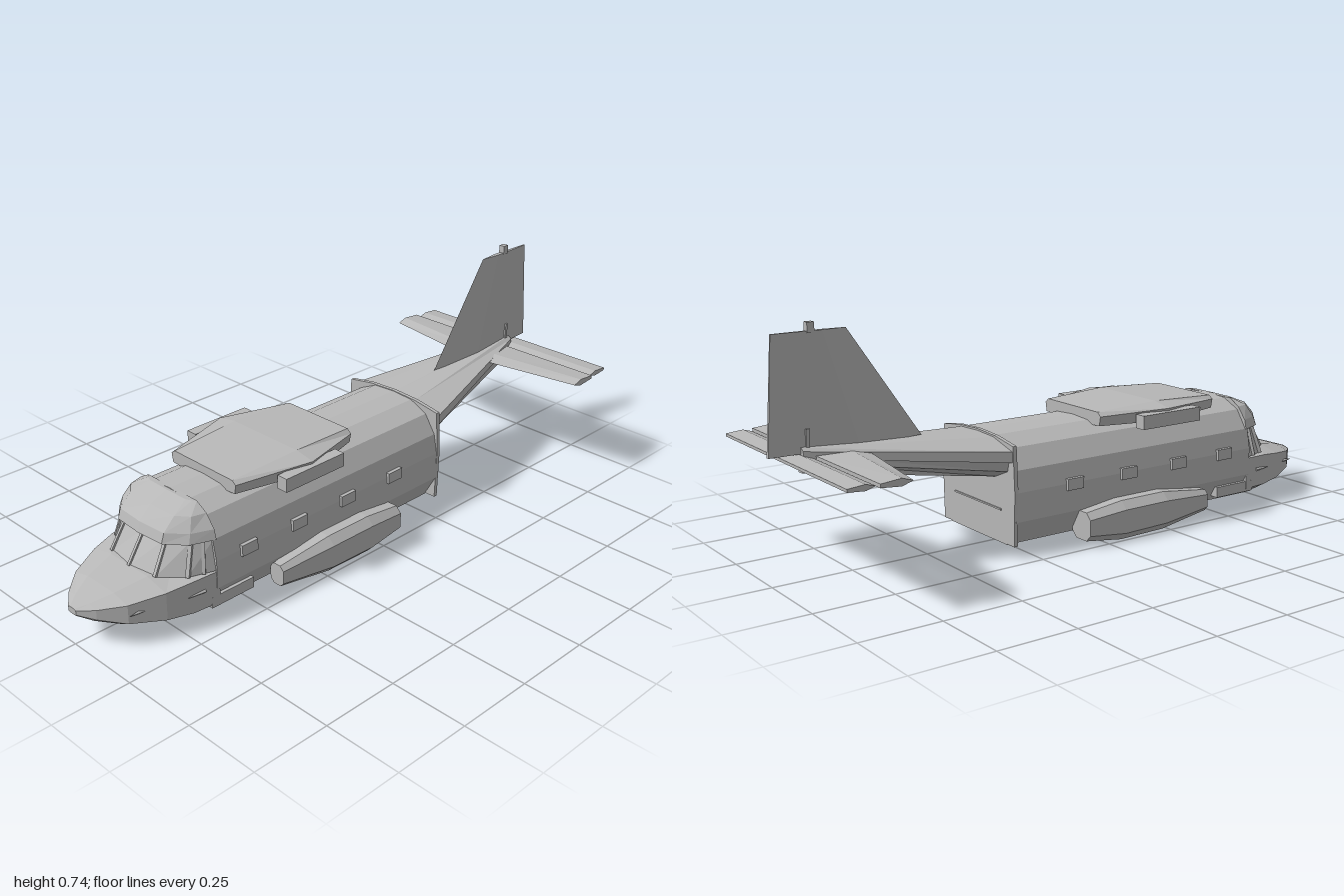
import * as THREE from 'three';

const grey = new THREE.MeshStandardMaterial({ color: 0xb8b8b8, flatShading: true });
grey.name = 'airframe grey';

// Mirror a half outline (x >= 0) into a closed ring
const ring = half => [...half, ...half.filter(p => p[0] > 0).reverse().map(([x, y, z]) => [-x, y, z])];

// Closed solid through rings of equal point count, wound outward by its signed volume
function loft(rings) {
  const n = rings[0].length, tris = [];
  for (let i = 0; i < rings.length - 1; i++)
    for (let j = 0; j < n; j++) {
      const k = (j + 1) % n, a = rings[i], b = rings[i + 1];
      tris.push([a[j], a[k], b[k]], [a[j], b[k], b[j]]);
    }
  const cap = (r, flip) => {
    const c = [0, 1, 2].map(q => r.reduce((s, p) => s + p[q], 0) / n);
    r.forEach((p, j) => tris.push(flip ? [c, r[(j + 1) % n], p] : [c, p, r[(j + 1) % n]]));
  };
  cap(rings[0], true);
  cap(rings[rings.length - 1], false);
  const v = p => new THREE.Vector3(...p);
  const volume = tris.reduce((s, [a, b, c]) => s + v(a).dot(v(b).cross(v(c))), 0);
  const geo = new THREE.BufferGeometry();
  const pos = tris.flatMap(t => (volume < 0 ? [t[0], t[2], t[1]] : t).flat());
  geo.setAttribute('position', new THREE.Float32BufferAttribute(pos, 3));
  geo.computeVertexNormals();
  return geo;
}

const atZ = (z, pts) => pts.map(([x, y]) => [x, y, z]);
const atY = (y, pts) => pts.map(([x, z]) => [x, y, z]);

export function createModel() {
  const model = new THREE.Group();
  model.name = 'helicopter airframe';
  const add = (name, geo) => {
    const m = new THREE.Mesh(geo, grey);
    m.name = name;
    model.add(m);
    return m;
  };
  const box = (name, x0, x1, y0, y1, z0, z1) =>
    add(name, new THREE.BoxGeometry(x1 - x0, y1 - y0, z1 - z0))
      .position.set((x0 + x1) / 2, (y0 + y1) / 2, (z0 + z1) / 2);
  const bar = (name, a, b, w) => {
    const p = new THREE.Vector3(...a), q = new THREE.Vector3(...b);
    const m = add(name, new THREE.BoxGeometry(w, w, p.distanceTo(q)));
    m.position.copy(p).add(q).multiplyScalar(0.5);
    m.lookAt(q);
  };

  // Cabin
  const cabin = [[0, 0.36], [0.08, 0.355], [0.145, 0.325], [0.185, 0.265], [0.198, 0.2], [0.198, 0.11], [0.155, 0.036], [0, 0.036]];
  add('cabin', loft([0.64, -0.31].map(z => ring(atZ(z, cabin)))));
  box('bellyPlate', -0.155, 0.155, 0.033, 0.04, -0.315, 0.69);
  const frame = [[0, 0.362], [0.1, 0.357], [0.192, 0.342], [0.2, 0.2], [0.195, 0.036], [0, 0.036]];
  add('rearBulkhead', loft([-0.303, -0.316].map(z => ring(atZ(z, frame)))));
  box('rampSeam', -0.13, 0.13, 0.135, 0.14, -0.32, -0.31);

  // Nose: z, half width, top, shoulder, chine and bottom heights
  const nose = [
    [0.63, 0.197, 0.175, 0.165, 0.06, 0.035], [0.72, 0.188, 0.175, 0.163, 0.06, 0.038],
    [0.8, 0.168, 0.172, 0.153, 0.065, 0.047], [0.9, 0.123, 0.152, 0.138, 0.078, 0.066],
    [0.965, 0.065, 0.133, 0.126, 0.095, 0.086], [1, 0.018, 0.122, 0.119, 0.105, 0.102]];
  add('nose', loft(nose.map(([z, w, t, s, c, b]) =>
    ring(atZ(z, [[0, t], [w * 0.5, t], [w, s], [w, c], [w * 0.8, b], [0, b]])))));

  // Windscreen and cockpit roof, stacked upward
  const sill = [[0, 0.8], [0.1, 0.785], [0.165, 0.72], [0.198, 0.63]];
  const head = [[0, 0.735], [0.09, 0.73], [0.15, 0.69], [0.182, 0.63]];
  add('windscreen', loft([ring(atY(0.168, sill)), ring(atY(0.268, head))]));
  add('cockpitRoof', loft([
    [0.264, [[0, 0.762], [0.1, 0.755], [0.16, 0.705], [0.19, 0.63]]],
    [0.295, [[0, 0.752], [0.1, 0.745], [0.155, 0.695], [0.182, 0.63]]],
    [0.335, [[0, 0.71], [0.1, 0.705], [0.138, 0.675], [0.15, 0.63]]],
    [0.358, [[0, 0.65], [0.08, 0.648], [0.1, 0.64], [0.11, 0.63]]],
  ].map(([y, p]) => ring(atY(y, p)))));
  bar('centrePost', [0, 0.17, 0.8], [0, 0.266, 0.737], 0.009);

  // Fairing above the cabin
  add('engineFairing', loft([
    [0.515, 0.13, 0.145, 0.375, 0.386], [0.27, 0.14, 0.208, 0.385, 0.398], [0.045, 0.13, 0.145, 0.375, 0.388],
  ].map(([z, t, w, s, top]) => ring(atZ(z, [[0, top], [t, top], [w, s], [w * 0.96, 0.345], [0, 0.34]])))));

  // Tail boom with an overhanging upper deck
  add('tailBoom', loft([
    ring(atZ(-0.31, [[0, 0.3], [0.175, 0.3], [0.165, 0.26], [0.1, 0.232], [0, 0.232]])),
    ring(atZ(-0.9, [[0, 0.37], [0.018, 0.37], [0.017, 0.345], [0.012, 0.315], [0, 0.315]]))]));
  add('tailDeck', loft([
    ring(atZ(-0.31, [[0, 0.356], [0.09, 0.352], [0.19, 0.325], [0.19, 0.292], [0, 0.292]])),
    ring(atZ(-0.9, [[0, 0.39], [0.012, 0.389], [0.024, 0.38], [0.024, 0.358], [0, 0.358]]))]));

  // Fin
  const fin = (y, lead, mid, trail, t) => ring([[0, y, lead], [t, y, mid], [t * 0.3, y, trail]]);
  add('tailFin', loft([fin(0.37, -0.51, -0.72, -0.995, 0.018), fin(0.71, -0.745, -0.82, -0.972, 0.008)]));
  box('finTopLight', -0.01, 0.01, 0.705, 0.735, -0.867, -0.845);
  box('rudderHinge', -0.016, 0.016, 0.38, 0.44, -0.885, -0.875);

  // Stabilizer and elevator, spanning the tail
  const foil = (x, lead, trail, y, t) => [
    [x, y, lead], [x, y + t, lead + (trail - lead) * 0.35], [x, y + t * 0.5, trail],
    [x, y - t * 0.5, trail], [x, y - t, lead + (trail - lead) * 0.35]];
  add('stabilizer', loft([[-0.397, -0.768], [-0.07, -0.715], [0.07, -0.715], [0.397, -0.768]]
    .map(([x, lead]) => foil(x, lead, -0.866, 0.359, 0.011))));
  add('elevator', loft([-0.385, 0.385].map(x => foil(x, -0.872, -0.955, 0.358, 0.009))));

  // Paired parts
  for (const s of [1, -1]) {
    const pair = (name, x0, x1, ...rest) => box(name, Math.min(s * x0, s * x1), Math.max(s * x0, s * x1), ...rest);
    add('sponson', loft([
      [0.42, 0.18, 0.236, 0.028, 0.098, 0.014], [0.23, 0.155, 0.258, 0.003, 0.125, 0.025],
      [0.06, 0.155, 0.259, 0, 0.125, 0.025], [-0.075, 0.162, 0.252, 0.018, 0.108, 0.02],
    ].map(([z, x0, x1, y0, y1, c]) => atZ(z, [
      [x0 + c, y0], [x1 - c, y0], [x1, y0 + c], [x1, y1 - c],
      [x1 - c, y1], [x0 + c, y1], [x0, y1 - c], [x0, y0 + c]].map(([x, y]) => [s * x, y])))));
    pair('sponsonMount', 0.14, 0.18, 0.04, 0.105, -0.06, 0.38);
    pair('engineIntake', 0.185, 0.223, 0.333, 0.377, 0.155, 0.39);
    for (const z of [0.52, 0.32, 0.115, -0.095])
      pair('cabinWindow', 0.19, 0.207, 0.18, 0.216, z - 0.03, z + 0.03);
    pair('lowerStep', 0.165, 0.195, 0.05, 0.085, 0.5, 0.66);
    bar('frontPost', [s * 0.1, 0.17, 0.785], [s * 0.09, 0.266, 0.73], 0.01);
    bar('cornerPost', [s * 0.166, 0.168, 0.72], [s * 0.15, 0.266, 0.69], 0.012);
    bar('sidePost', [s * 0.183, 0.168, 0.675], [s * 0.167, 0.266, 0.66], 0.01);
    // Nose probes
    for (const [x, y, z] of [[0.135, 0.11, 0.875], [0.188, 0.118, 0.71]]) {
      const probe = add('noseProbe', new THREE.ConeGeometry(0.01, 0.06, 4));
      probe.position.set(s * x, y, z);
      probe.rotation.x = Math.PI / 2;
    }
  }
  return model;
}
